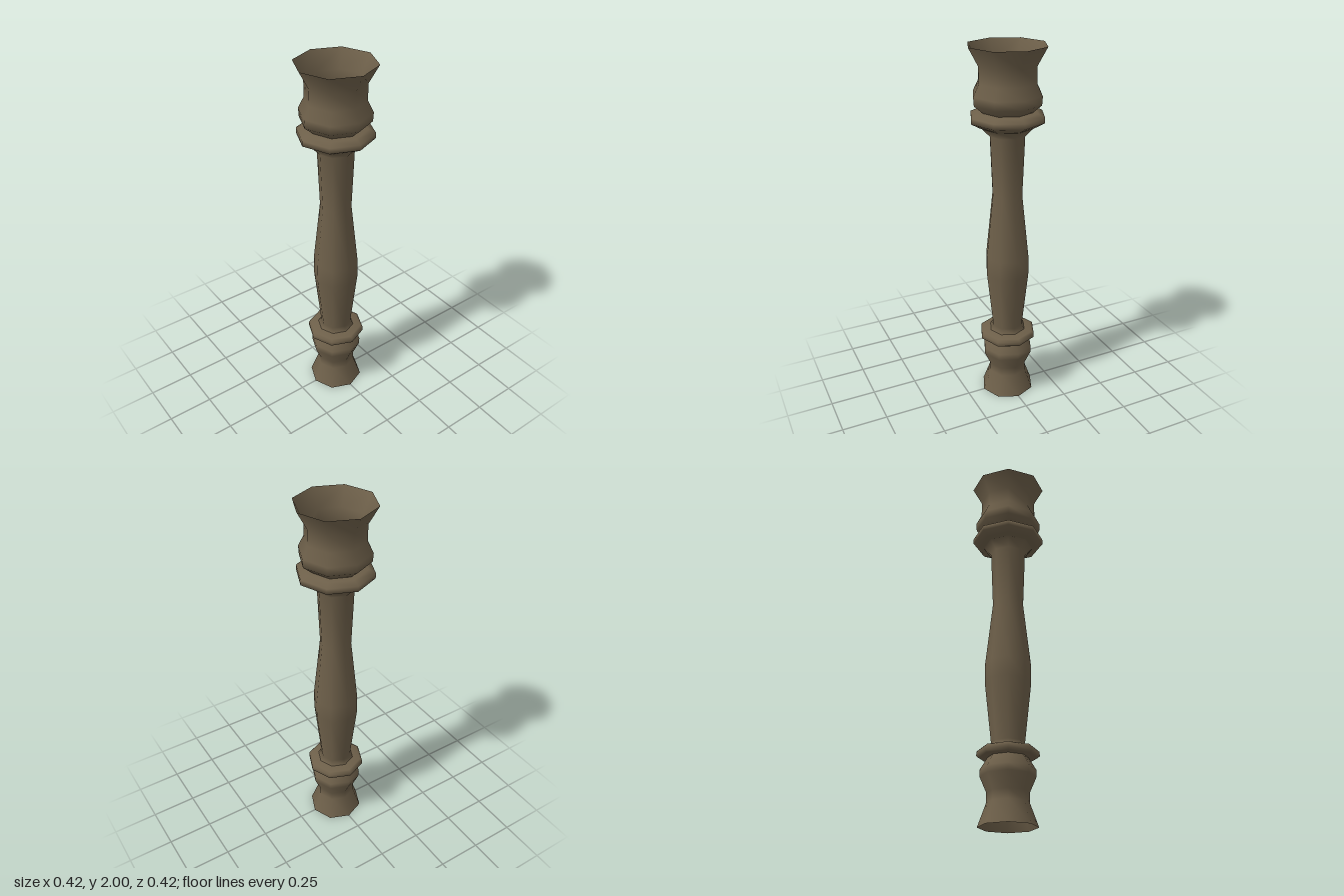
import * as THREE from 'three';

const SIDES = 8;

export function createModel() {
  const group = new THREE.Group();
  group.name = 'baluster';
  const wood = new THREE.MeshStandardMaterial({ color: 0x6e604a, side: THREE.DoubleSide });
  wood.name = 'brown wood';

  // Each turned section is an open eight-sided shell: [radius, height] from bottom to top
  const sections = {
    foot: [[0.152, 0], [0.108, 0.12], [0.108, 0.17], [0.143, 0.25], [0.143, 0.286], [0.105, 0.347]],
    lowerRing: [[0.105, 0.347], [0.15, 0.347], [0.161, 0.356], [0.161, 0.378], [0.147, 0.39], [0.103, 0.397]],
    shaft: [[0.103, 0.397], [0.087, 0.425], [0.123, 0.755], [0.123, 0.86], [0.084, 1.22], [0.097, 1.545], [0.14, 1.59]],
    upperRing: [[0.14, 1.59], [0.16, 1.6], [0.2, 1.623], [0.2, 1.652], [0.165, 1.668], [0.135, 1.671]],
    capital: [[0.135, 1.671], [0.183, 1.712], [0.186, 1.758], [0.156, 1.818], [0.156, 1.905], [0.208, 2]],
  };

  for (const [name, profile] of Object.entries(sections)) {
    const points = profile.map(([r, y]) => new THREE.Vector2(r, y));
    const mesh = new THREE.Mesh(new THREE.LatheGeometry(points, SIDES), wood);
    mesh.name = name;
    group.add(mesh);
  }
  return group;
}
